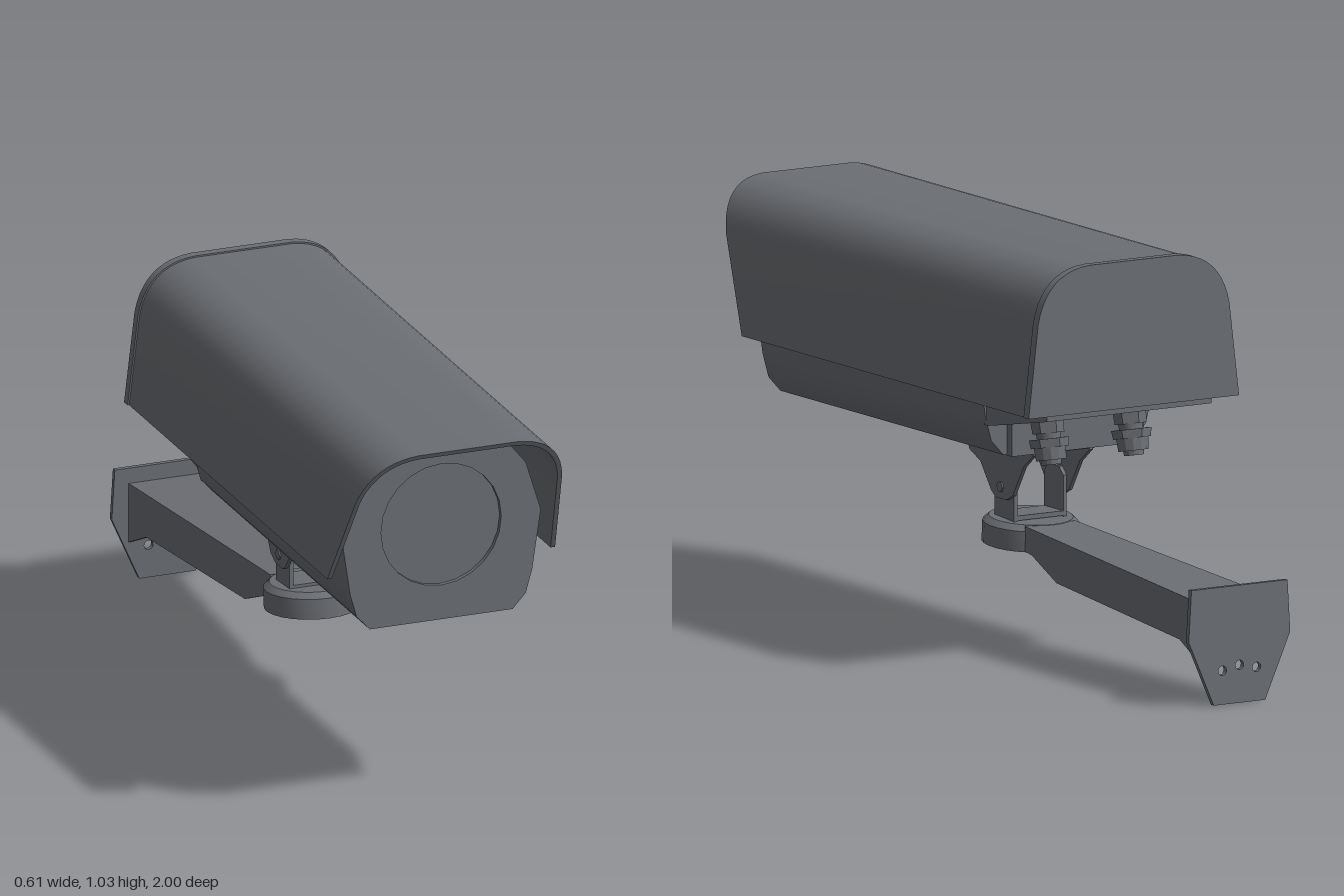
import * as THREE from 'three';
import { toCreasedNormals } from 'three/addons/utils/BufferGeometryUtils.js';

const grey = new THREE.MeshStandardMaterial({ color: 0x6b6e73, side: THREE.DoubleSide });
grey.name = 'housing grey';

const toShape = (pts) => new THREE.Shape(pts.map(([a, b]) => new THREE.Vector2(a, b)));
// Mirror a right-hand half outline to make a closed symmetric one
const mirrored = (half) => [...half, ...half.map(([x, y]) => [-x, y]).reverse()];

function add(parent, name, geometry, crease = 0.5) {
  const mesh = new THREE.Mesh(toCreasedNormals(geometry, crease), grey);
  mesh.name = name;
  parent.add(mesh);
  return mesh;
}

// Front outline (x, y) extruded from z0 to z1
function extrudeZ(shape, z0, z1) {
  const g = new THREE.ExtrudeGeometry(shape, { depth: z1 - z0, bevelEnabled: false, curveSegments: 12 });
  return g.translate(0, 0, z0);
}

// Side outline (z, y) extruded across x, from x0 to x1
function extrudeX(pts, x0, x1) {
  const g = new THREE.ExtrudeGeometry(toShape(pts), { depth: x1 - x0, bevelEnabled: false });
  return g.rotateY(-Math.PI / 2).translate(x1, 0, 0);
}

// Move vertices by a rule
function warp(g, rule) {
  const p = g.attributes.position;
  const v = new THREE.Vector3();
  for (let i = 0; i < p.count; i++) {
    rule(v.fromBufferAttribute(p, i));
    p.setXYZ(i, v.x, v.y, v.z);
  }
  return g;
}

// Right half of the arched hood section, shrunk by t
function archHalf(t) {
  const curve = new THREE.QuadraticBezierCurve(
    new THREE.Vector2(0.275 - t, 0.9), new THREE.Vector2(0.25 - t, 1.022 - t), new THREE.Vector2(0.13, 1.03 - t));
  return [[0.303 - t, 0.665], ...curve.getPoints(10).map((p) => [p.x, p.y])];
}

function addHousing(group) {
  // Sun hood: thin arch with a raked front edge
  const ring = [...mirrored(archHalf(0)), ...mirrored(archHalf(0.012)).reverse()];
  const hood = warp(extrudeZ(toShape(ring), -0.5, 0.5), (v) => {
    if (v.z > 0) v.z = 0.82 + (v.y - 0.665) / 0.365 * 0.18;
  });
  add(group, 'sunHood', hood);
  add(group, 'rearCap', extrudeZ(toShape(mirrored(archHalf(-0.004))), -0.512, -0.488));

  // Main body with chamfered lower corners
  const half = [[0.19, 0.517], [0.225, 0.555], [0.242, 0.615], [0.265, 0.77], [0.225, 0.9], [0.16, 0.98]];
  add(group, 'body', extrudeZ(toShape(mirrored(half)), -0.21, 0.795));

  // Front bezel around a round window
  const bezel = toShape(mirrored(half));
  bezel.holes.push(new THREE.Path().absarc(0, 0.767, 0.16, 0, Math.PI * 2, true));
  add(group, 'frontBezel', extrudeZ(bezel, 0.795, 0.82));
  add(group, 'window', new THREE.CircleGeometry(0.162, 24).translate(0, 0.767, 0.808));

  // Sloped rear underside with tapered end
  const rear = extrudeX([[-0.2, 0.95], [-0.2, 0.595], [-0.24, 0.6], [-0.49, 0.648], [-0.49, 0.95]], -0.24, 0.24);
  add(group, 'rearUnderside', rear);
  add(group, 'bodyEndLip', new THREE.BoxGeometry(0.36, 0.09, 0.025).translate(0, 0.56, -0.222));
}

function addGlands(group) {
  // Cable glands: stacked hexagonal nut, collar and domed nut (radius, height, y, sides)
  const rings = [[0.042, 0.035, -0.018, 6], [0.032, 0.02, -0.043, 16], [0.05, 0.022, -0.06, 6],
    [0.04, 0.032, -0.086, 12], [0.026, 0.014, -0.107, 12]];
  for (const side of [-1, 1]) {
    const gland = new THREE.Group();
    gland.name = side > 0 ? 'leftCableGland' : 'rightCableGland';
    for (const [r, h, y, n] of rings) {
      add(gland, 'glandRing', new THREE.CylinderGeometry(r, r * 0.94, h, n).translate(0, y, 0));
    }
    gland.position.set(side * 0.12, 0.615, -0.3);
    gland.rotation.x = 0.2;
    group.add(gland);
  }
}

function addSwivel(group) {
  const upper = [[0.13, 0.515], [0.11, 0.472], [0.06, 0.45], [0.01, 0.385], [-0.01, 0.37],
    [-0.06, 0.37], [-0.09, 0.385], [-0.14, 0.465], [-0.185, 0.5], [-0.185, 0.515]];
  const lower = [[0.01, 0.315], [0.01, 0.42], [-0.01, 0.44], [-0.06, 0.44], [-0.08, 0.42], [-0.08, 0.315]];
  add(group, 'saddlePlate', new THREE.BoxGeometry(0.18, 0.012, 0.315).translate(0, 0.509, -0.028));
  for (const s of [-1, 1]) {
    add(group, 'upperSwivelPlate', extrudeX(upper, s * 0.082 - 0.005, s * 0.082 + 0.005));
    add(group, 'lowerSwivelPlate', extrudeX(lower, s * 0.072 - 0.005, s * 0.072 + 0.005));
    add(group, 'pivotBolt',
      new THREE.CylinderGeometry(0.014, 0.014, 0.022, 6).rotateZ(Math.PI / 2).translate(s * 0.08, 0.4, -0.035));
  }
  add(group, 'swivelBase', new THREE.BoxGeometry(0.154, 0.012, 0.09).translate(0, 0.325, -0.035));
}

function addArm(group) {
  // Hollow round head, tilted along the arm
  const cup = [[0, -0.001], [0.108, -0.001], [0.108, -0.04], [0.12, -0.04], [0.12, 0.012], [0.105, 0.026], [0, 0.026]];
  const head = add(group, 'armHead', new THREE.LatheGeometry(cup.map(([x, y]) => new THREE.Vector2(x, y)), 24));
  head.position.set(0, 0.294, -0.035);
  head.rotation.x = -0.066;

  // Open-bottomed channel that widens toward the wall
  const flare = (v) => { v.x *= 0.074 + 0.029 * (-0.13 - v.z) / 0.855; };
  const wall = [[-0.125, 0.313], [-0.125, 0.25], [-0.16, 0.245], [-0.28, 0.195], [-0.88, 0.15],
    [-0.987, 0.1], [-0.987, 0.255]];
  const top = [[-0.125, 0.313], [-0.125, 0.301], [-0.987, 0.243], [-0.987, 0.255]];
  add(group, 'armLeftWall', warp(extrudeX(wall, 0.88, 1), flare));
  add(group, 'armRightWall', warp(extrudeX(wall, -1, -0.88), flare));
  add(group, 'armTop', warp(extrudeX(top, -1, 1), flare));

  // Wall plate with cable holes
  const plate = toShape(mirrored([[0.075, 0], [0.148, 0.165], [0.14, 0.295]]));
  for (const [x, y] of [[-0.05, 0.085], [0, 0.095], [0.05, 0.085]]) {
    plate.holes.push(new THREE.Path().absarc(x, y, 0.012, 0, Math.PI * 2, true));
  }
  add(group, 'wallPlate', extrudeZ(plate, -1, -0.987));
}

export function createModel() {
  const group = new THREE.Group();
  group.name = 'securityCamera';
  addHousing(group);
  addGlands(group);
  addSwivel(group);
  addArm(group);
  return group;
}
